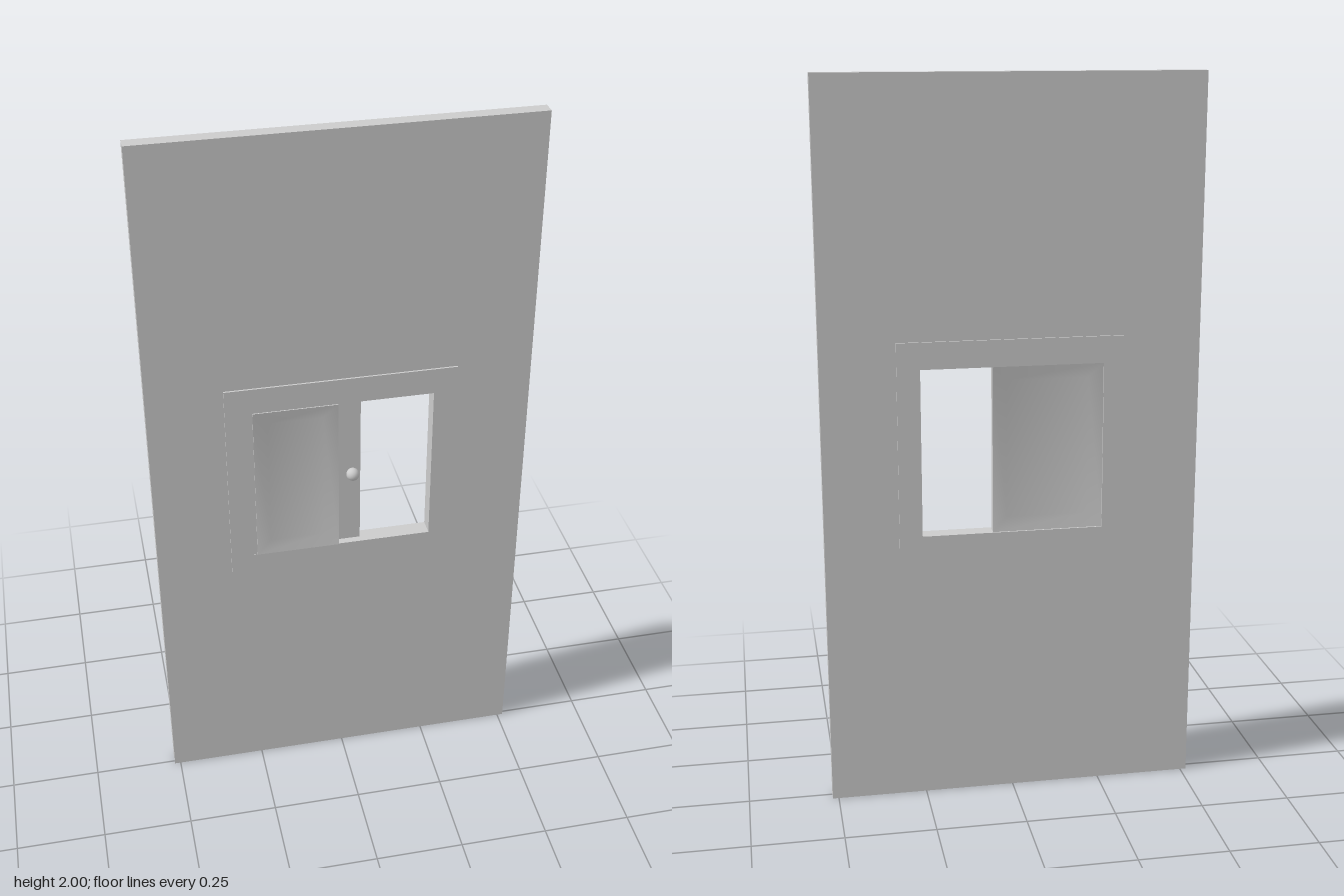
import * as THREE from 'three';
import { toCreasedNormals } from 'three/addons/utils/BufferGeometryUtils.js';

const material = new THREE.MeshStandardMaterial({ color: 0xcccccc });

function add(group, name, geometry, x = 0, y = 0, z = 0) {
  const mesh = new THREE.Mesh(geometry, material);
  mesh.name = name;
  mesh.position.set(x, y, z);
  group.add(mesh);
  return mesh;
}

// Rectangular plate with a rectangular opening, spanning z0 to z1
function openPlate(x, y0, y1, hole, z0, z1) {
  const rect = (target, hx, a, b) =>
    target.moveTo(-hx, a).lineTo(hx, a).lineTo(hx, b).lineTo(-hx, b).closePath();
  const shape = rect(new THREE.Shape(), x, y0, y1);
  shape.holes.push(rect(new THREE.Path(), hole.x, hole.y0, hole.y1));
  return new THREE.ExtrudeGeometry(shape, { depth: z1 - z0, bevelEnabled: false }).translate(0, 0, z0);
}

// Panel whose +z face slopes softly down from the rim to a sunken floor
function dishedPanel(width, height, depth, inset, sink) {
  const loops = [[0, -depth / 2], [0, depth / 2], [inset, depth / 2 - sink]];
  const points = [];
  const index = [];
  for (const [i, z] of loops) {
    const w = width / 2 - i, h = height / 2 - i;
    points.push(-w, -h, z, w, -h, z, w, h, z, -w, h, z);
  }
  for (let l = 0; l < loops.length - 1; l++) {
    for (let k = 0; k < 4; k++) {
      const a = l * 4 + k, b = l * 4 + (k + 1) % 4;
      index.push(a, b, b + 4, a, b + 4, a + 4);
    }
  }
  index.push(0, 2, 1, 0, 3, 2, 8, 9, 10, 8, 10, 11);
  const geometry = new THREE.BufferGeometry();
  geometry.setAttribute('position', new THREE.Float32BufferAttribute(points, 3));
  geometry.setIndex(index);
  return toCreasedNormals(geometry, Math.PI / 5);
}

export function createModel() {
  const model = new THREE.Group();
  model.name = 'doorWithSlidingHatch';
  const hole = { x: 0.25, y0: 0.768, y1: 1.233 };
  const midY = (hole.y0 + hole.y1) / 2;
  const panelHeight = hole.y1 - hole.y0;

  // Door slab and the raised trim on both faces
  add(model, 'doorSlab', openPlate(0.517, 0, 2, hole, -0.026, 0.011));
  add(model, 'frontTrim', openPlate(0.313, 0.697, 1.307, hole, 0.011, 0.016));
  add(model, 'backTrim', openPlate(0.313, 0.697, 1.307, hole, -0.031, -0.026));

  // Fixed panel in front, sliding panel behind it
  add(model, 'fixedPanel', dishedPanel(0.23, panelHeight, 0.022, 0.04, 0.008), -0.125, midY, 0.008);
  add(model, 'fixedPanelEdge', new THREE.BoxGeometry(0.012, panelHeight, 0.018), -0.245, midY, 0.006);
  const slider = add(model, 'slidingPanel', dishedPanel(0.305, panelHeight, 0.022, 0.04, 0.008), -0.0975, midY, -0.015);
  slider.rotation.y = Math.PI;

  // Knob on a short stem
  const stem = new THREE.CylinderGeometry(0.008, 0.008, 0.016, 16).rotateX(Math.PI / 2);
  add(model, 'knobStem', stem, 0.031, 0.997, 0.003);
  add(model, 'knob', new THREE.SphereGeometry(0.018, 24, 16), 0.031, 0.997, 0.011);

  return model;
}
